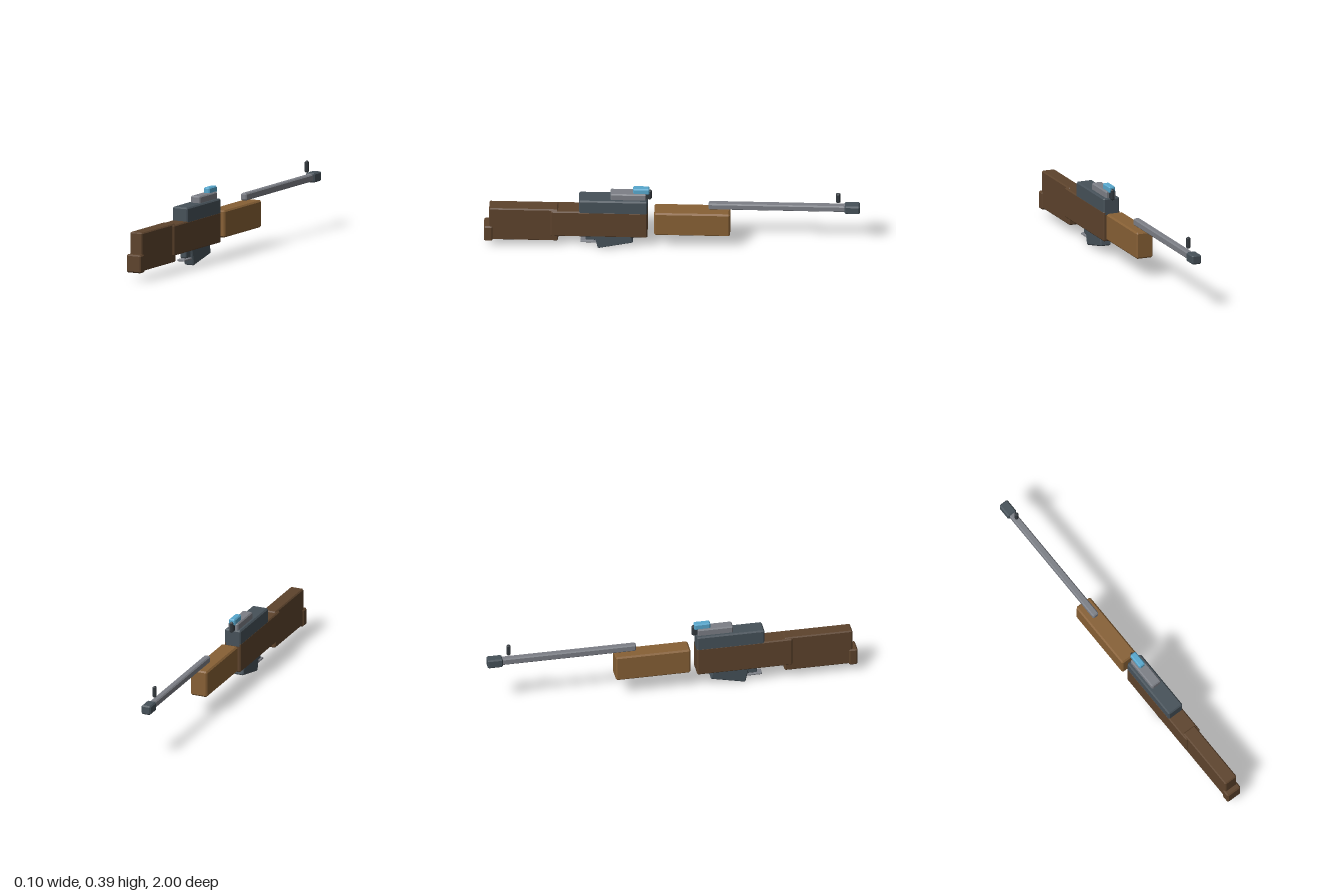
import * as THREE from 'three';
import { ConvexGeometry } from 'three/addons/geometries/ConvexGeometry.js';

const mat = (name, color) => {
  const m = new THREE.MeshStandardMaterial({ color, flatShading: true });
  m.name = name;
  return m;
};

// Box with every edge cut by a flat chamfer c
function chamferBox(w, h, d, c) {
  const points = [];
  for (const sx of [-1, 1]) for (const sy of [-1, 1]) for (const sz of [-1, 1]) {
    for (let axis = 0; axis < 3; axis++) {
      const inset = [0, 1, 2].map((i) => (i === axis ? 0 : c));
      points.push(new THREE.Vector3(
        sx * (w / 2 - inset[0]), sy * (h / 2 - inset[1]), sz * (d / 2 - inset[2])));
    }
  }
  return new ConvexGeometry(points);
}

export function createModel() {
  const group = new THREE.Group();
  const darkWood = mat('dark wood', 0x5d432c);
  const lightWood = mat('light wood', 0x876035);
  const slate = mat('slate metal', 0x465159);
  const steel = mat('grey steel', 0x7c7f86);
  const black = mat('dark metal', 0x32383d);
  const blue = mat('blue accent', 0x58a8ce);

  const add = (name, geometry, material, y, z) => {
    const mesh = new THREE.Mesh(geometry, material);
    mesh.name = name;
    mesh.position.set(0, y, z);
    group.add(mesh);
    return mesh;
  };
  // Block centred on x = 0, given half width and y, z ranges
  const block = (name, material, halfWidth, y0, y1, z0, z1, c) =>
    add(name, chamferBox(halfWidth * 2, y1 - y0, z1 - z0, c), material, (y0 + y1) / 2, (z0 + z1) / 2);

  // Wooden furniture
  block('stock', darkWood, 0.038, 0.063, 0.27, 0.605, 0.972, 0.006);
  block('buttPad', darkWood, 0.044, 0.056, 0.153, 0.953, 1.0, 0.007);
  block('receiverLower', darkWood, 0.047, 0.1, 0.264, 0.13, 0.645, 0.006);
  block('foregrip', lightWood, 0.048, 0.119, 0.265, -0.31, 0.094, 0.008);

  // Receiver top, bolt and sight rail
  block('receiverUpper', slate, 0.0462, 0.24, 0.337, 0.13, 0.495, 0.007);
  block('bolt', steel, 0.029, 0.33, 0.373, 0.137, 0.328, 0.006);
  block('sightBlock', blue, 0.018, 0.365, 0.402, 0.12, 0.207, 0.006);

  // Barrel and muzzle
  block('barrel', steel, 0.018, 0.275, 0.313, -0.93, -0.195, 0.006);
  block('muzzle', slate, 0.027, 0.268, 0.319, -1.0, -0.918, 0.007);

  // Sight posts
  block('rearSight', black, 0.011, 0.328, 0.388, 0.108, 0.152, 0.007);
  block('frontSight', black, 0.01, 0.327, 0.39, -0.895, -0.873, 0.006);

  // Slanted magazine
  const magazine = add('magazine', chamferBox(0.058, 0.13, 0.193, 0.005), slate, 0.095, 0.314);
  magazine.rotation.x = 0.22;

  // Trigger and guard
  block('trigger', slate, 0.018, 0.058, 0.115, 0.405, 0.46, 0.004);
  block('triggerGuard', steel, 0.022, 0.044, 0.055, 0.36, 0.486, 0.003);

  return group;
}
